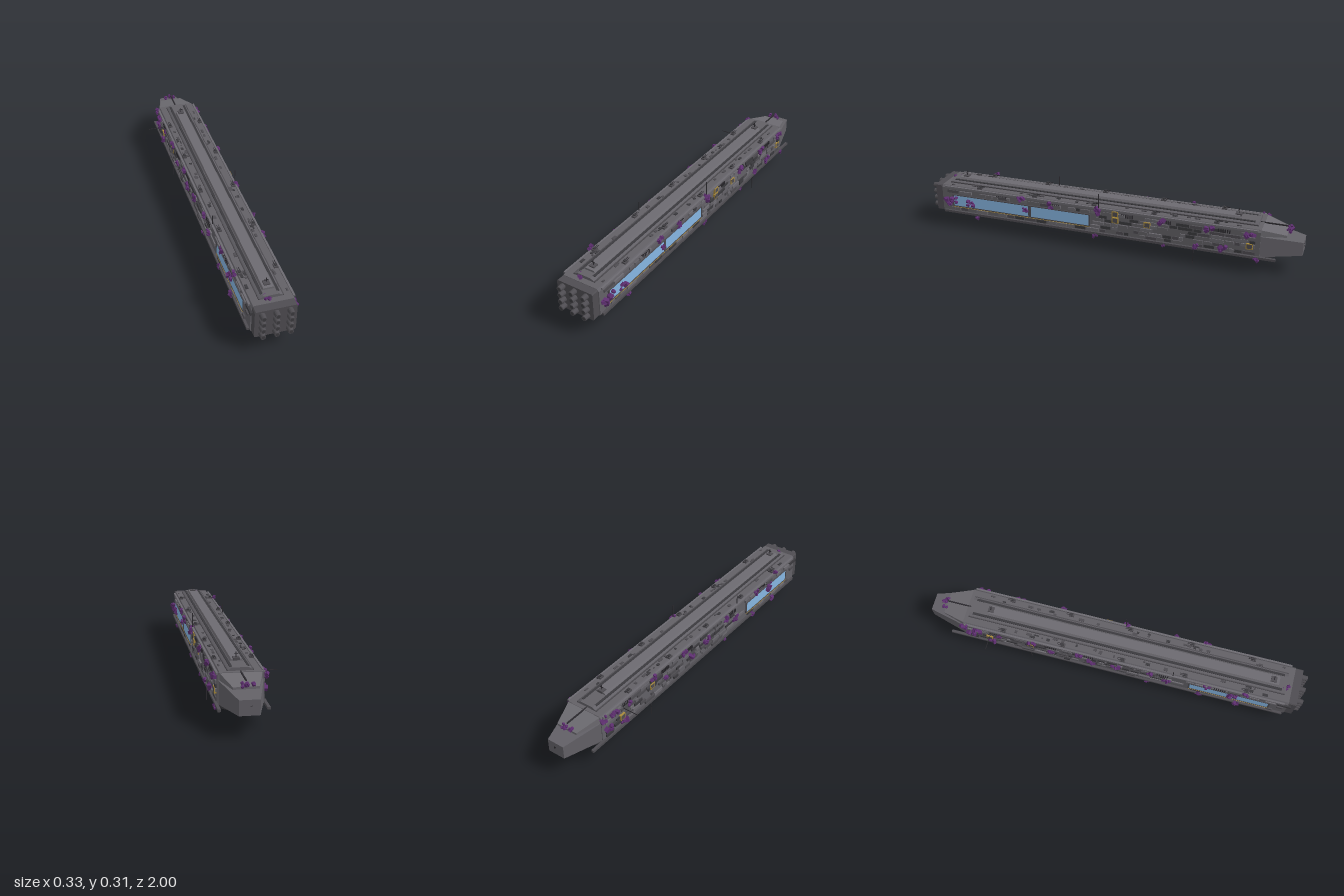
import * as THREE from 'three';

const paint = (color, flat = true) => new THREE.MeshStandardMaterial({ color, flatShading: flat });
const M = {
  hull: paint(0x626066), dark: paint(0x3b3a3e), panel: paint(0x4e4c51), light: paint(0x6c6a70),
  glass: paint(0x86b6e2), crystal: paint(0x5e2f70), yellow: paint(0xa88a3c), black: paint(0x2c2a2f),
};
let seed = 7;
const rnd = () => (seed = (seed * 16807) % 2147483647) / 2147483647;
const range = (a, b) => a + (b - a) * rnd();

export function createModel() {
  const model = new THREE.Group();
  model.name = 'spaceship';
  const ship = new THREE.Group();
  ship.name = 'ship';
  ship.position.x = 0.032;
  model.add(ship);

  const add = (name, geo, mat, x = 0, y = 0, z = 0) => {
    const m = new THREE.Mesh(geo, mat);
    m.name = name;
    m.position.set(x, y, z);
    ship.add(m);
    return m;
  };
  const box = (name, mat, w, h, d, x, y, z) => add(name, new THREE.BoxGeometry(w, h, d), mat, x, y, z);
  // Prism along z from a mirrored half profile listed bottom to top
  const prism = (name, mat, half, z0, z1) => {
    const pts = [...half, ...half.map(([x, y]) => [-x, y]).reverse()].map(p => new THREE.Vector2(...p));
    return add(name, new THREE.ExtrudeGeometry(new THREE.Shape(pts), { depth: z1 - z0, bevelEnabled: false }), mat, 0, 0, z0);
  };
  // Box whose back (-z) end has its own half width and height span: [halfWidth, yBottom, yTop, z]
  const taper = (name, mat, front, back) => {
    const g = new THREE.BoxGeometry(2, 1, 1), p = g.attributes.position;
    for (let i = 0; i < p.count; i++) {
      const [w, y0, y1, z] = p.getZ(i) > 0 ? front : back;
      p.setXYZ(i, p.getX(i) * w, p.getY(i) > 0 ? y1 : y0, z);
    }
    g.computeVertexNormals();
    return add(name, g, mat);
  };

  // Main hull, keel and edge rails
  prism('hull', M.hull, [[0.1, 0.085], [0.104, 0.09], [0.104, 0.222], [0.094, 0.235]], -0.8, 0.93);
  prism('keel', M.dark, [[0.035, 0.07], [0.108, 0.086], [0.108, 0.092]], -0.8, 0.92);
  taper('keelBow', M.dark, [0.1, 0.075, 0.092, -0.8], [0.06, 0.088, 0.098, -0.88]);
  for (const s of [-1, 1]) {
    box('lowerRail', M.panel, 0.014, 0.012, 1.8, s * 0.109, 0.09, 0.02);
    box('upperRail', M.light, 0.01, 0.01, 1.7, s * 0.105, 0.228, 0.06);
  }

  // Bow: tapered nose, overhanging roof plate and hatch
  taper('nose', M.hull, [0.1, 0.09, 0.2, -0.8], [0.046, 0.105, 0.175, -1]);
  taper('noseRoof', M.light, [0.098, 0.2, 0.235, -0.79], [0.058, 0.195, 0.206, -0.92]);
  box('noseHatch', M.black, 0.022, 0.018, 0.004, 0, 0.142, -0.998);
  box('bowBoom', M.black, 0.006, 0.006, 0.15, 0, 0.233, -0.84);

  // Stern block with a grid of twelve engines
  prism('sternBlock', M.panel, [[0.094, 0.083], [0.099, 0.09], [0.099, 0.228], [0.094, 0.233]], 0.92, 0.97);
  for (const x of [-0.065, 0, 0.065]) for (const y of [0.102, 0.139, 0.176, 0.212]) {
    const e = add('engine', new THREE.CylinderGeometry(0.0125, 0.0145, 0.034, 16), M.panel, x, y, 0.983);
    e.rotation.x = Math.PI / 2;
    const c = add('engineCore', new THREE.CylinderGeometry(0.009, 0.009, 0.002, 16), M.dark, x, y, 0.9995);
    c.rotation.x = Math.PI / 2;
  }

  // Raised dorsal spine with recessed lines
  prism('spineBase', M.hull, [[0.055, 0.23], [0.055, 0.24], [0.036, 0.25]], -0.78, 0.9);
  prism('spineTop', M.light, [[0.033, 0.245], [0.024, 0.26]], -0.68, 0.86);
  for (const s of [-1, 1]) {
    box('spineGroove', M.dark, 0.012, 0.004, 1.64, s * 0.039, 0.249, 0.06);
    box('spineEdge', M.panel, 0.005, 0.006, 1.68, s * 0.057, 0.238, 0.06);
  }
  // Aerials with crossbars at both ends of the spine
  for (const z of [-0.67, 0.83]) {
    box('aerialBase', M.panel, 0.03, 0.012, 0.03, 0, 0.26, z);
    box('aerialMast', M.black, 0.003, 0.03, 0.003, 0, 0.276, z);
    box('aerialBar', M.black, 0.02, 0.003, 0.003, 0, 0.28, z);
  }

  // Deck turrets in mirrored pairs
  for (const s of [-1, 1]) for (const z of [-0.58, -0.26, 0.06, 0.39, 0.71]) {
    box('turretBase', M.panel, 0.02, 0.01, 0.026, s * 0.087, 0.239, z);
    box('turretHead', M.dark, 0.012, 0.008, 0.014, s * 0.087, 0.246, z);
    for (const o of [-0.004, 0.004]) box('turretBarrel', M.black, 0.002, 0.002, 0.026, s * 0.087 + o, 0.247, z - 0.015);
  }
  // Small deck fittings
  for (let i = 0; i < 46; i++) {
    const s = i % 2 ? 1 : -1;
    box('deckFitting', i % 3 ? M.panel : M.dark, range(0.006, 0.014), 0.006, range(0.008, 0.03), s * range(0.065, 0.085), 0.236, range(-0.75, 0.88));
  }

  // Long windows: two on the left side, one on the right
  const windows = [[1, 0.42, 0.865], [1, 0.08, 0.412], [-1, 0.42, 0.84]];
  for (const [s, a, b] of windows) {
    box('window', M.glass, 0.008, 0.06, b - a, s * 0.104, 0.155, (a + b) / 2);
    for (const y of [0.123, 0.187]) box('windowFrame', M.panel, 0.012, 0.005, b - a, s * 0.104, y, (a + b) / 2);
    for (const z of [a, b]) box('windowPost', M.panel, 0.012, 0.064, 0.008, s * 0.104, 0.155, z);
    box('windowTrim', M.yellow, 0.014, 0.002, b - a, s * 0.104, 0.119, (a + b) / 2);
  }

  // Side plating in rows, leaving the windows clear
  for (const s of [-1, 1]) for (const y of [0.108, 0.128, 0.148, 0.168, 0.186, 0.205]) {
    for (let z = -0.78; z < 0.88;) {
      const d = range(0.025, 0.08), zc = z + d / 2;
      const blocked = y > 0.11 && y < 0.195 && windows.some(([ws, a, b]) => ws === s && zc + d / 2 > a && zc - d / 2 < b);
      if (!blocked && rnd() < 0.75) {
        const t = range(0.006, 0.018);
        box('sidePanel', [M.panel, M.dark, M.hull, M.light][Math.floor(rnd() * 4)], t, 0.015, d - 0.006, s * 0.104, y, zc);
      }
      z += d;
    }
  }
  // Ribbed vents along the upper side
  for (const s of [-1, 1]) for (const z0 of [-0.65, -0.35, -0.15, 0.25, 0.55]) for (let i = 0; i < 6; i++) {
    box('ventRib', M.black, 0.012, 0.018, 0.005, s * 0.105, 0.207, z0 + i * 0.011);
  }

  // Yellow bay doors with dark cross frames
  for (const [s, y, z] of [[1, 0.212, -0.06], [1, 0.178, -0.06], [1, 0.178, -0.23], [1, 0.145, -0.75], [-1, 0.178, -0.43], [-1, 0.145, -0.66]]) {
    box('bayDoor', M.yellow, 0.02, 0.03, 0.034, s * 0.104, y, z);
    box('bayInset', M.panel, 0.022, 0.022, 0.026, s * 0.104, y, z);
  }

  // Thin masts: [x, bottom, top, z]
  for (const [x, a, b, z] of [[0.106, 0.22, 0.308, 0.03], [-0.102, 0.22, 0.283, 0.33], [0.105, 0, 0.09, -0.47], [-0.107, 0, 0.09, -0.44]]) {
    box('mast', M.black, 0.0035, b - a, 0.0035, x, (a + b) / 2, z);
  }
  box('sideMast', M.black, 0.09, 0.003, 0.003, -0.152, 0.192, -0.65);

  // Purple crystal growths: heaps of skewed blocks
  const growth = (x, y, z, r, n = 5) => {
    const g = new THREE.Group();
    g.name = 'crystalGrowth';
    g.position.set(x, y, z);
    for (let i = 0; i < n; i++) {
      const geo = i % 2 ? new THREE.DodecahedronGeometry(r * 0.6) : new THREE.BoxGeometry(r, r, r);
      const m = new THREE.Mesh(geo, M.crystal);
      m.name = 'crystal';
      m.position.set(range(-0.25, 0.25) * r, range(-0.7, 0.7) * r, range(-1, 1) * r);
      m.rotation.set(range(0, 3), range(0, 3), range(0, 3));
      m.scale.set(range(0.6, 1), range(0.7, 1.1), range(0.7, 1.2));
      g.add(m);
    }
    ship.add(g);
  };
  const leftSide = [[0.15, 0.89, 0.024], [0.16, 0.86, 0.02], [0.15, 0.76, 0.02], [0.075, 0.73, 0.013], [0.215, 0.46, 0.018], [0.16, 0.44, 0.014],
    [0.21, 0.3, 0.02], [0.075, 0.05, 0.013], [0.215, 0.03, 0.02], [0.21, -0.3, 0.02], [0.08, -0.32, 0.012], [0.205, -0.55, 0.024],
    [0.1, -0.49, 0.017], [0.11, -0.62, 0.02], [0.21, -0.75, 0.02], [0.08, -0.78, 0.014]];
  const rightSide = [[0.22, -0.79, 0.018], [0.15, -0.76, 0.022], [0.2, -0.72, 0.022], [0.12, -0.65, 0.02], [0.19, -0.6, 0.016], [0.22, -0.42, 0.018],
    [0.16, -0.33, 0.017], [0.21, -0.17, 0.018], [0.15, -0.1, 0.02], [0.17, 0.03, 0.02], [0.08, 0.2, 0.016], [0.2, 0.22, 0.02], [0.16, 0.3, 0.018],
    [0.085, 0.48, 0.016], [0.21, 0.51, 0.016], [0.18, 0.65, 0.022], [0.09, 0.69, 0.018], [0.24, 0.71, 0.014]];
  for (const [y, z, r] of leftSide) growth(0.112, y, z, r);
  for (const [y, z, r] of rightSide) growth(-0.112, y, z, r);
  for (const [x, y, z, r] of [[-0.01, 0.07, 0.73, 0.016], [0.02, 0.068, 0.05, 0.016], [-0.02, 0.068, -0.32, 0.013],
    [-0.03, 0.238, 0.89, 0.015], [-0.012, 0.242, 0.9, 0.015], [-0.03, 0.22, -0.92, 0.013], [0, 0.222, -0.93, 0.014], [0.02, 0.218, -0.92, 0.013]]) growth(x, y, z, r, 4);

  return model;
}
